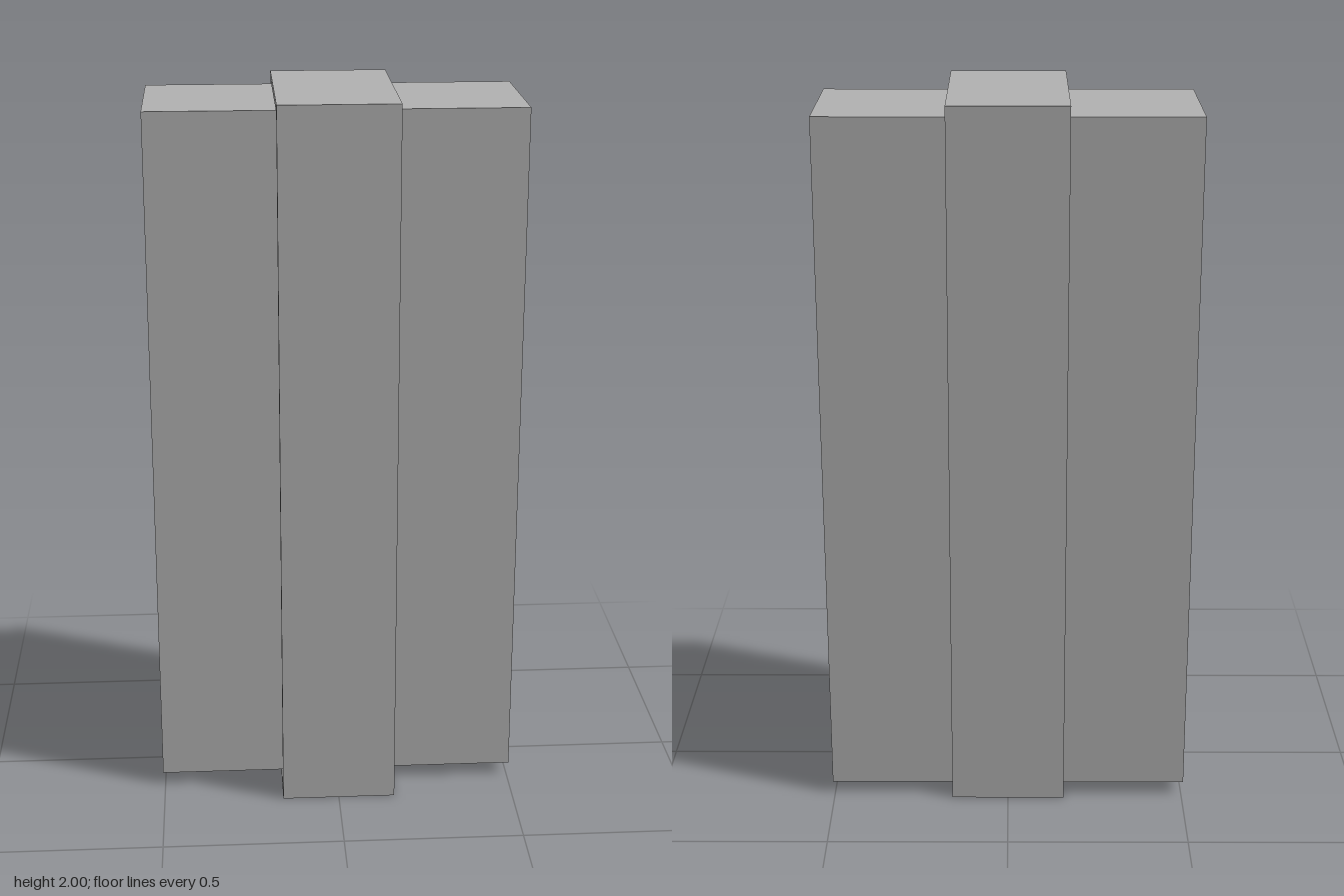
import * as THREE from 'three';

export function createModel() {
  const model = new THREE.Group();
  const grey = new THREE.MeshStandardMaterial({ color: 0xb2b2b2 });
  grey.name = 'plain grey';

  // Solid block that slides through the sleeve, set towards the back
  const block = new THREE.Mesh(new THREE.BoxGeometry(1.012, 1.931, 0.397), grey);
  block.name = 'innerBlock';
  block.position.set(0, 1.0025, -0.0395);
  model.add(block);

  // Thin rectangular sleeve, open at both sides
  const depth = 0.525, height = 2, wall = 0.022, width = 0.32;
  const rectangle = (path, w, h) => path
    .moveTo(-w / 2, -h / 2).lineTo(w / 2, -h / 2)
    .lineTo(w / 2, h / 2).lineTo(-w / 2, h / 2).closePath();
  const outline = new THREE.Shape();
  rectangle(outline, depth, height);
  const opening = new THREE.Path();
  rectangle(opening, depth - 2 * wall, height - 2 * wall);
  outline.holes.push(opening);

  const sleeveGeometry = new THREE.ExtrudeGeometry(outline, { depth: width, bevelEnabled: false });
  sleeveGeometry.translate(0, 0, -width / 2).rotateY(Math.PI / 2);
  const sleeve = new THREE.Mesh(sleeveGeometry, grey);
  sleeve.name = 'sleeve';
  sleeve.position.y = height / 2;
  model.add(sleeve);

  return model;
}
